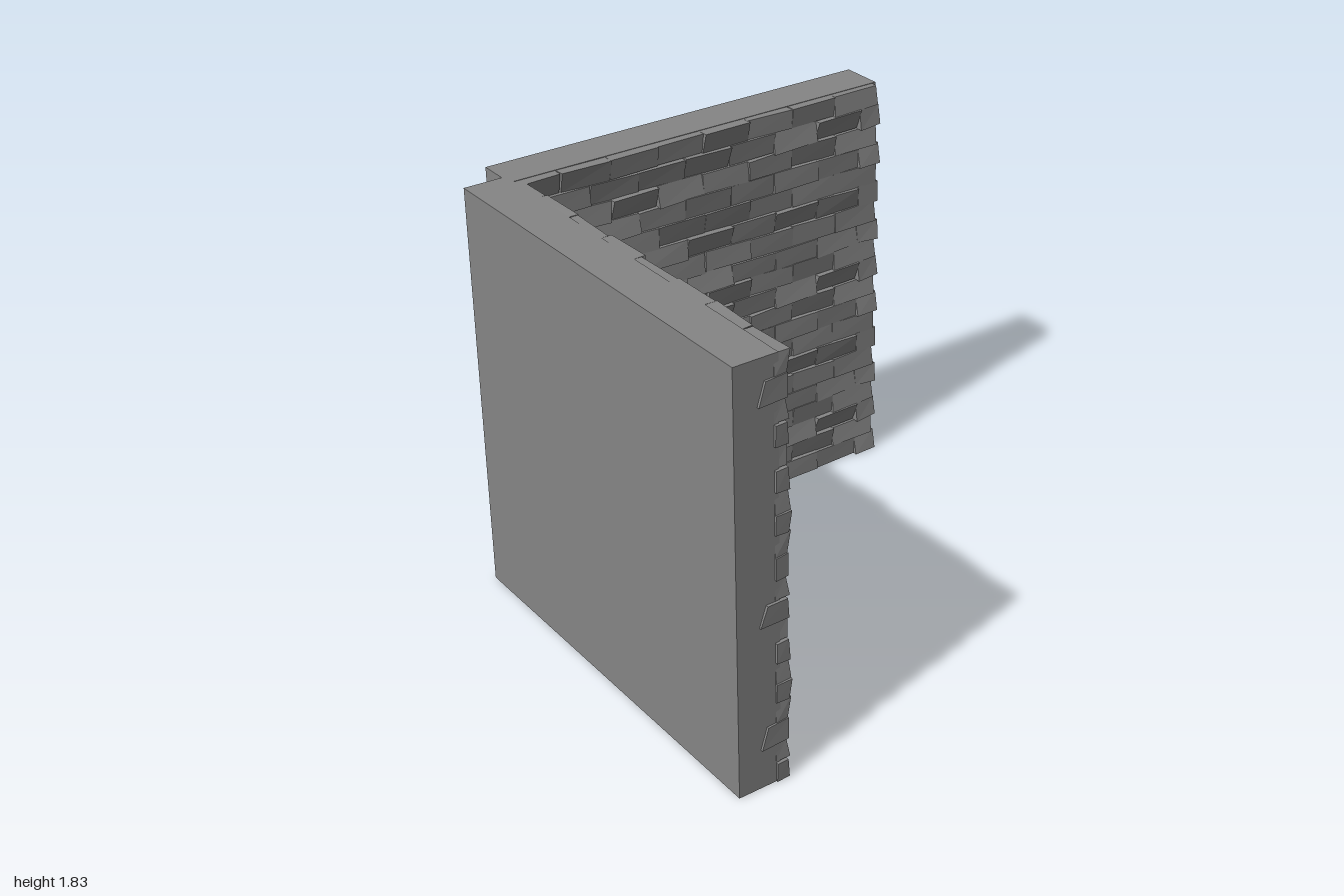
import * as THREE from 'three';
import { mergeGeometries } from 'three/addons/utils/BufferGeometryUtils.js';

const SIZE = 1.83, DEPTH = 0.19, ROWS = 20, ROW_H = SIZE / ROWS, BRICK = 0.2285;
// Bricks leaning strongly downward; the pattern repeats every eight rows
const LEANING = { 1: [5], 2: [1, 4], 6: [2, 4] };

// Small seeded generator, so the rough stonework is repeatable
function seeded(seed) {
  return () => {
    seed = (seed * 16807) % 2147483647;
    return seed / 2147483647;
  };
}

// One rough brick: a box whose corners are shifted so its face tilts
function brick(x0, x1, row, leans, rand) {
  const spread = (amount) => (rand() - 0.5) * amount;
  const lean = leans ? 0.034 : spread(0.038);
  const swing = spread(0.022);
  const out = 0.227 + spread(0.01);
  // a few end bricks reach back over the end of the slab
  const wraps = x1 > SIZE && [2, 8, 18].includes(row);
  const corners = {};
  const g = new THREE.BoxGeometry(1, 1, 1);
  const p = g.attributes.position;
  for (let i = 0; i < p.count; i++) {
    const sx = Math.sign(p.getX(i)), sy = Math.sign(p.getY(i)), sz = Math.sign(p.getZ(i));
    const key = `${sx},${sy},${sz}`;
    if (!corners[key]) {
      const x = (sx < 0 ? x0 : x1) + spread(0.008);
      const y = (row + (sy < 0 ? 0 : 1)) * ROW_H + spread(0.009);
      const face = out + (sy * lean + sx * swing) / 2 + spread(0.003);
      const back = wraps ? (sy < 0 ? 0.1 : 0.13) : 0.17;
      corners[key] = [
        THREE.MathUtils.clamp(x, 0.001, SIZE + 0.012),
        THREE.MathUtils.clamp(y, 0.002, SIZE - 0.002),
        sz < 0 ? -THREE.MathUtils.clamp(face, 0.196, 0.249) : -back];
    }
    p.setXYZ(i, ...corners[key]);
  }
  const flat = g.toNonIndexed();
  flat.computeVertexNormals();
  return flat;
}

// Running bond: every second row is shifted by half a brick
function brickFacing() {
  const parts = [];
  for (let row = 0; row < ROWS; row++) {
    const rand = seeded(4711 + 7919 * (row % 8));
    const start = row % 2 ? 0.02 : 0.115 - BRICK;
    const end = SIZE + (row % 2 ? 0.001 : 0.009);
    for (let k = 0; start + k * BRICK < SIZE - 0.03; k++) {
      const x0 = start + k * BRICK, x1 = x0 + BRICK;
      const leans = (LEANING[row % 8] ?? []).includes(k);
      parts.push(brick(Math.max(x0, 0.002), x1 > SIZE - 0.03 ? end : x1, row, leans, rand));
    }
  }
  return mergeGeometries(parts);
}

export function createModel() {
  const group = new THREE.Group();
  group.name = 'brickCorner';
  const material = new THREE.MeshStandardMaterial({ color: 0x868686, flatShading: true });
  const slabGeometry = new THREE.BoxGeometry(SIZE, SIZE, DEPTH)
    .translate(SIZE / 2, SIZE / 2, -DEPTH / 2);
  const facingGeometry = brickFacing();

  // Smooth outer slab with bricks on the inner side
  function wall(name, x, z, turn) {
    const w = new THREE.Group();
    w.name = name;
    const slab = new THREE.Mesh(slabGeometry, material);
    slab.name = 'slab';
    const bricks = new THREE.Mesh(facingGeometry, material);
    bricks.name = 'bricks';
    w.add(slab, bricks);
    w.position.set(x, 0, z);
    w.rotation.y = turn;
    group.add(w);
  }

  // Two equal walls meeting at a notched corner
  wall('frontWall', -0.86, 1, 0);
  wall('sideWall', -0.99, -1, -Math.PI / 2);
  return group;
}
